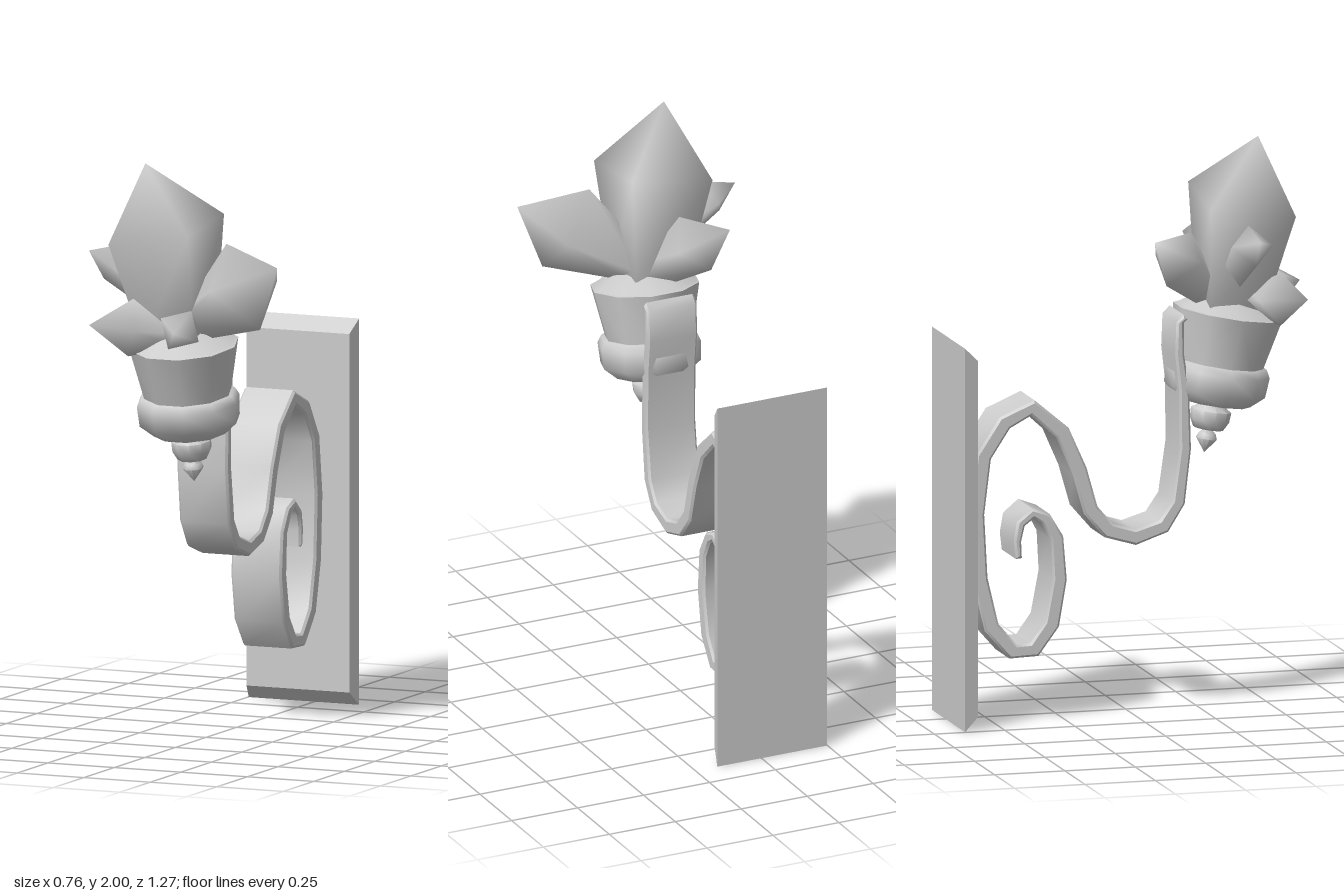
import * as THREE from 'three';
import { toCreasedNormals } from 'three/addons/utils/BufferGeometryUtils.js';

const grey = new THREE.MeshStandardMaterial({ color: 0xcccccc, side: THREE.DoubleSide });
const V = (x, y, z) => new THREE.Vector3(x, y, z);

function part(name, geometry) {
  const mesh = new THREE.Mesh(geometry, grey);
  mesh.name = name;
  return mesh;
}

// Four-sided crystal: narrow root, wide shoulder, pointed tip
function crystal({ root, shoulder, tip, rootR, r, corner }) {
  const axis = tip.clone().sub(root).normalize();
  const u = corner.clone().addScaledVector(axis, -corner.dot(axis)).normalize();
  const w = u.clone().cross(axis);
  const points = [];
  for (const [centre, radius] of [[root, rootR], [shoulder, r]]) {
    for (let i = 0; i < 4; i++) {
      const a = i * Math.PI / 2;
      points.push(centre.clone().addScaledVector(u, radius * Math.cos(a)).addScaledVector(w, radius * Math.sin(a)));
    }
  }
  points.push(tip, root);
  const index = [];
  for (let i = 0; i < 4; i++) {
    const j = (i + 1) % 4;
    index.push(i, i + 4, j, j, i + 4, j + 4, i + 4, 8, j + 4, i, j, 9);
  }
  const geometry = new THREE.BufferGeometry().setFromPoints(points);
  geometry.setIndex(index);
  geometry.computeVertexNormals();
  return geometry;
}

// Flat strip with chamfered edges along a path in the (z, y) plane, thinning towards both ends
function scrollStrip(path, width, thickness) {
  const bevel = 0.008;
  const pts = path.map(([z, y]) => new THREE.Vector2(z, y));
  const left = [], right = [];
  pts.forEach((p, i) => {
    const d = pts[Math.min(i + 1, pts.length - 1)].clone().sub(pts[Math.max(i - 1, 0)]).normalize();
    const fromEnd = Math.min(i, pts.length - 1 - i);
    const half = thickness / 2 * Math.min(1, 0.4 + fromEnd * 0.09);
    const n = new THREE.Vector2(-d.y, d.x).multiplyScalar(half);
    left.push(p.clone().add(n));
    right.unshift(p.clone().sub(n));
  });
  const shape = new THREE.Shape([...left, ...right]);
  const geometry = new THREE.ExtrudeGeometry(shape, {
    depth: width - 2 * bevel, steps: 1,
    bevelThickness: bevel, bevelSize: bevel, bevelOffset: -bevel, bevelSegments: 1,
  });
  geometry.translate(0, 0, bevel);
  geometry.rotateY(-Math.PI / 2);
  return toCreasedNormals(geometry, 0.75);
}

export function createModel() {
  const model = new THREE.Group();
  model.name = 'wallSconce';
  const midX = -0.04;

  // Wall plate with chamfered front edges
  const plate = new THREE.BoxGeometry(0.415, 1.335, 0.05);
  const pos = plate.attributes.position;
  for (let i = 0; i < pos.count; i++) {
    if (pos.getZ(i) > 0) {
      pos.setX(i, pos.getX(i) - Math.sign(pos.getX(i)) * 0.014);
      pos.setY(i, pos.getY(i) - Math.sign(pos.getY(i)) * 0.048);
    }
  }
  plate.computeVertexNormals();
  plate.translate(midX, 0.6675, -0.615);
  model.add(part('wallPlate', plate));

  // Scrolled arm
  const path = [
    [0.178, 1.38], [0.158, 1.36], [0.156, 1.25], [0.172, 1.13], [0.176, 0.92], [0.152, 0.735], [0.1, 0.655],
    [0, 0.622], [-0.095, 0.65], [-0.16, 0.725], [-0.2, 0.865], [-0.26, 1.0], [-0.365, 1.092],
    [-0.465, 1.045], [-0.54, 0.93], [-0.565, 0.73], [-0.553, 0.505], [-0.512, 0.335], [-0.435, 0.247],
    [-0.36, 0.25], [-0.298, 0.335], [-0.27, 0.49], [-0.28, 0.635], [-0.32, 0.705], [-0.365, 0.725],
    [-0.408, 0.69], [-0.42, 0.63], [-0.415, 0.57],
  ];
  const arm = scrollStrip(path, 0.19, 0.054);
  arm.translate(0.055, 0, 0);
  model.add(part('scrollArm', arm));

  // Tilted holder, each part turned around one axis
  const holder = new THREE.Group();
  holder.name = 'holder';
  holder.position.set(midX + 0.005, 0.89, 0.27);
  holder.rotation.x = 0.17;
  const profiles = {
    finial: [[0, -0.004], [0.036, 0.045], [0.03, 0.062], [0.016, 0.075], [0.016, 0.1]],
    knob: [[0, 0.075], [0.052, 0.08], [0.068, 0.11], [0.07, 0.145], [0.045, 0.16], [0.045, 0.19]],
    band: [[0, 0.175], [0.13, 0.175], [0.175, 0.215], [0.18, 0.285], [0.165, 0.312], [0.13, 0.312]],
    cup: [[0.148, 0.29], [0.19, 0.49], [0.175, 0.495], [0.11, 0.54], [0, 0.55]],
  };
  for (const [name, profile] of Object.entries(profiles)) {
    const points = profile.map(([r, y]) => new THREE.Vector2(r, y));
    const turned = new THREE.LatheGeometry(points, 10, Math.PI / 10);
    holder.add(part(name, toCreasedNormals(turned, 1.1)));
  }
  model.add(holder);

  // Crystal cluster
  const up = V(0, 1, 0);
  const cluster = new THREE.Group();
  cluster.name = 'crystalCluster';
  const crystals = {
    mainCrystal: { root: V(-0.05, 1.4, 0.355), shoulder: V(-0.085, 1.77, 0.39), tip: V(-0.145, 2, 0.43), rootR: 0.135, r: 0.215, corner: V(1, 0, 1) },
    leftCrystal: { root: V(-0.01, 1.44, 0.35), shoulder: V(0.225, 1.597, 0.434), tip: V(0.38, 1.68, 0.495), rootR: 0.06, r: 0.162, corner: up },
    rightCrystal: { root: V(-0.06, 1.46, 0.35), shoulder: V(-0.285, 1.645, 0.37), tip: V(-0.385, 1.675, 0.37), rootR: 0.04, r: 0.076, corner: up },
    frontRightCrystal: { root: V(-0.03, 1.42, 0.4), shoulder: V(-0.17, 1.44, 0.495), tip: V(-0.295, 1.45, 0.565), rootR: 0.05, r: 0.1, corner: up },
    frontLeftCrystal: { root: V(-0.02, 1.41, 0.37), shoulder: V(0.035, 1.45, 0.54), tip: V(0.055, 1.45, 0.635), rootR: 0.04, r: 0.077, corner: V(0.5, 0.85, 0) },
    backCrystal: { root: V(-0.04, 1.42, 0.31), shoulder: V(-0.13, 1.582, 0.153), tip: V(-0.21, 1.66, 0.045), rootR: 0.05, r: 0.106, corner: up },
  };
  for (const [name, spec] of Object.entries(crystals)) cluster.add(part(name, crystal(spec)));
  model.add(cluster);

  return model;
}
